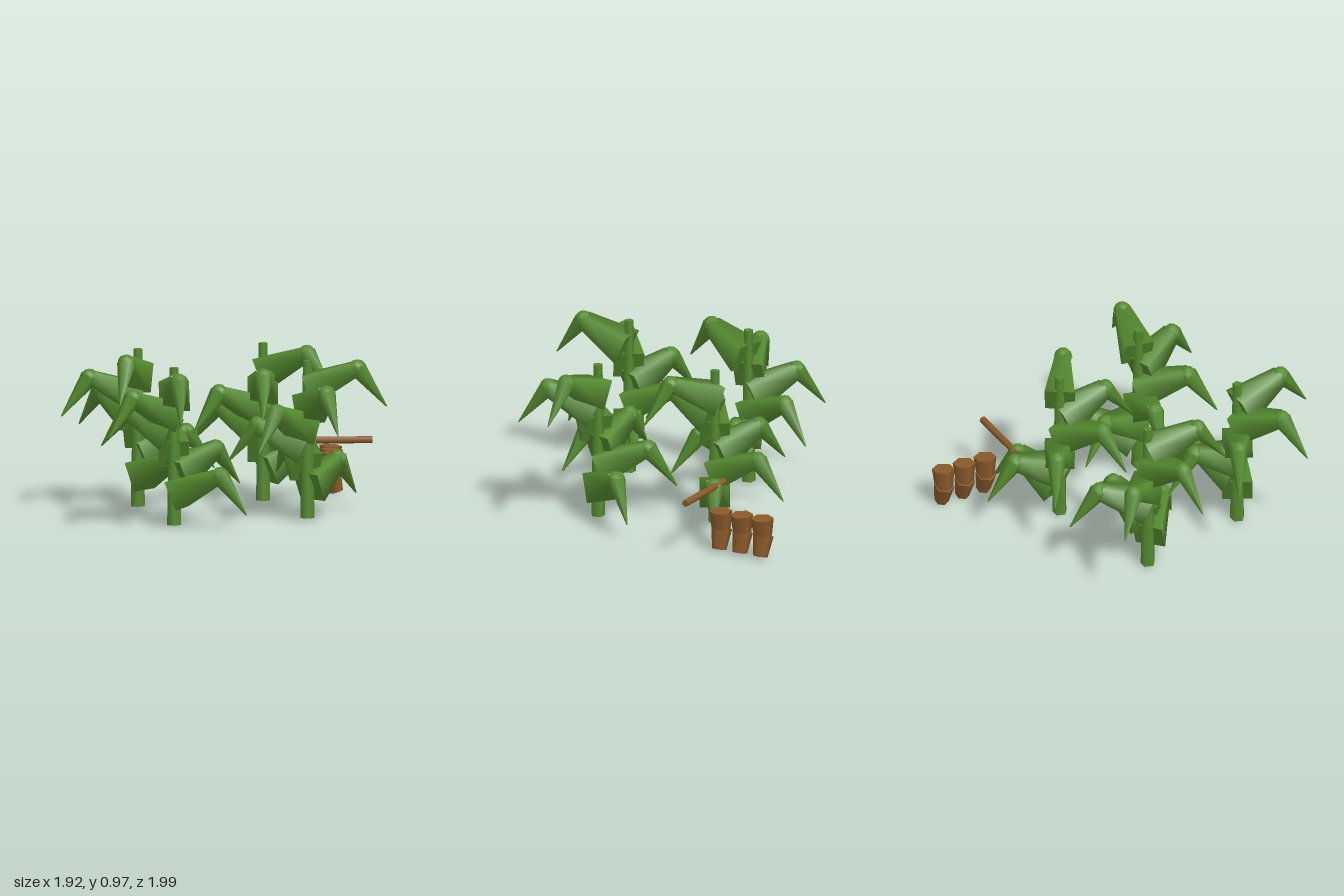
import * as THREE from 'three';

const UP = new THREE.Vector3(0, 1, 0);

// Tapered segment running from point a to point b
function segment(name, a, b, rA, rB, sides, turn, material) {
  const from = new THREE.Vector3(...a);
  const to = new THREE.Vector3(...b);
  const axis = to.clone().sub(from);
  const mesh = new THREE.Mesh(
    new THREE.CylinderGeometry(rB, rA, axis.length(), sides, 1, false, turn), material);
  mesh.name = name;
  mesh.position.copy(from).add(to).multiplyScalar(0.5);
  mesh.quaternion.setFromUnitVectors(UP, axis.normalize());
  return mesh;
}

// Square tapering blade, rounded joint and drooping tip, pointing along +x
function makeLeaf(material) {
  const leaf = new THREE.Group();
  leaf.name = 'leaf';
  const joint = new THREE.Mesh(new THREE.SphereGeometry(0.054, 7, 6), material);
  joint.name = 'leafJoint';
  joint.position.set(0.3, 0, 0);
  leaf.add(
    segment('leafBlade', [0.015, -0.13, 0], [0.3, 0, 0], 0.128, 0.06, 4, Math.PI / 4, material),
    joint,
    segment('leafTip', [0.3, 0, 0], [0.475, -0.225, 0], 0.057, 0.004, 6, 0, material),
  );
  return leaf;
}

// Stem with six leaves spiralling down in steps of 60 degrees
function makePlant(x, z, topAngle, material) {
  const plant = new THREE.Group();
  plant.name = 'plant';
  plant.position.set(x, 0, z);
  plant.add(segment('stem', [0, 0.01, 0], [0, 0.955, 0], 0.044, 0.028, 5, 0, material));
  for (let i = 0; i < 6; i++) {
    const leaf = makeLeaf(material);
    leaf.position.y = 0.914 - i * 0.118;
    leaf.rotation.y = -THREE.MathUtils.degToRad(topAngle + i * 60);
    plant.add(leaf);
  }
  return plant;
}

export function createModel() {
  const green = new THREE.MeshStandardMaterial({ color: 0x558b2f });
  green.name = 'leafGreen';
  const brown = new THREE.MeshStandardMaterial({ color: 0x8b5a2b });
  brown.name = 'woodBrown';

  const model = new THREE.Group();
  model.name = 'plantPatch';

  // Four plants: x, z and direction of the top leaf
  for (const [x, z, angle] of [
    [-0.5, -0.19, 105], [0.25, -0.38, 32], [-0.31, 0.515, 87], [0.49, 0.28, 9.5],
  ]) model.add(makePlant(x, z, angle, green));

  // Horizontal pole
  model.add(segment('pole', [0.437, 0.342, -0.545], [0.907, 0.342, -0.545], 0.021, 0.021, 8, 0, brown));

  // Three bent hexagonal pegs in a row
  for (const z of [-0.657, -0.798, -0.938]) {
    const peg = new THREE.Group();
    peg.name = 'peg';
    peg.position.z = z;
    peg.add(
      segment('pegFoot', [0.694, 0.012, 0], [0.66, 0.135, 0], 0.043, 0.062, 6, Math.PI / 6, brown),
      segment('pegTop', [0.664, 0.12, 0], [0.672, 0.245, 0], 0.053, 0.068, 6, Math.PI / 6, brown),
    );
    model.add(peg);
  }
  return model;
}
